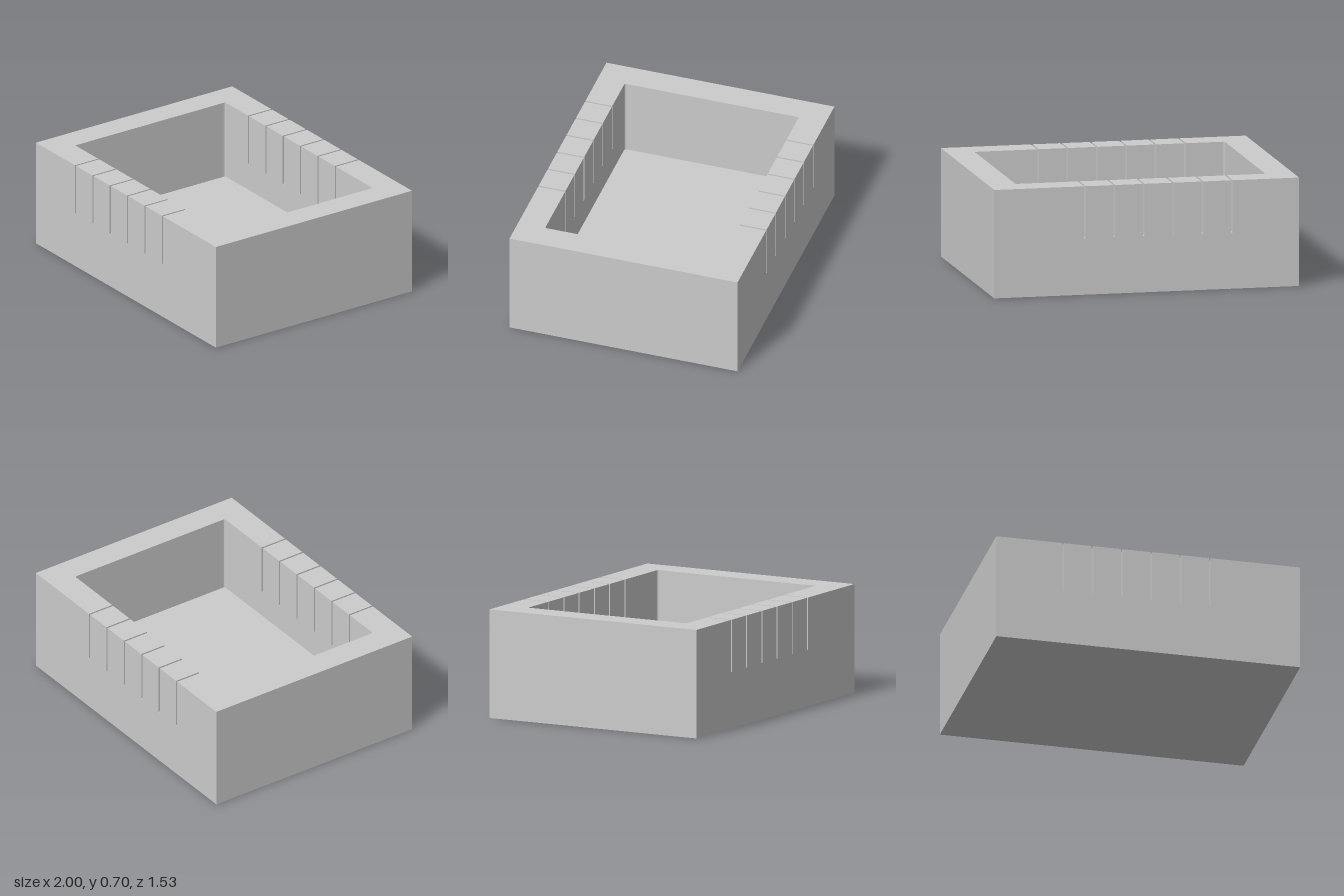
import * as THREE from 'three';
import { mergeGeometries } from 'three/addons/utils/BufferGeometryUtils.js';

// Outer half sizes, cavity half sizes and heights
const X = 1, Z = 0.767, CX = 0.82, CZ = 0.586, R = 0.012;
const TOP = 0.705, FLOOR = 0.187, SLOT_Y = 0.367;
const SLOT = 0.012, FIRST = -0.56, STEP = 0.193, COUNT = 6;

// Plan points are [x, -z], anticlockwise seen from above
const rect = (x0, x1, y0, y1) => [[x0, y0], [x1, y0], [x1, y1], [x0, y1]];

// One rounded cavity corner, k counting quarter turns
function corner(k) {
  const sx = [1, -1, -1, 1][k], sy = [1, 1, -1, -1][k];
  return [0, 1, 2, 3, 4].map((i) => {
    const a = (k + i / 4) * Math.PI / 2;
    return [sx * (CX - R) + R * Math.cos(a), sy * (CZ - R) + R * Math.sin(a)];
  });
}

// Upright walls around a plan outline, flat shaded
function walls(points, y0, y1) {
  const pos = [];
  points.forEach((a, i) => {
    const b = points[(i + 1) % points.length];
    for (const [p, y] of [[a, y0], [b, y0], [b, y1], [a, y0], [b, y1], [a, y1]]) pos.push(p[0], y, -p[1]);
  });
  const g = new THREE.BufferGeometry();
  g.setAttribute('position', new THREE.Float32BufferAttribute(pos, 3));
  g.computeVertexNormals();
  return g;
}

// Level face filling a plan outline
function cap(points, y, up = true) {
  const shape = new THREE.Shape(points.map((p) => new THREE.Vector2(p[0], p[1])));
  const g = new THREE.ShapeGeometry(shape).toNonIndexed();
  g.deleteAttribute('uv');
  return g.rotateX(up ? -Math.PI / 2 : Math.PI / 2).translate(0, y, 0);
}

export function createModel() {
  const group = new THREE.Group();
  const material = new THREE.MeshStandardMaterial({ color: 0xcccccc });
  const add = (name, ...parts) => {
    const mesh = new THREE.Mesh(mergeGeometries(parts), material);
    mesh.name = name;
    group.add(mesh);
  };
  const block = (points) => [walls(points, SLOT_Y, TOP), cap(points, TOP)];

  // Lower body: outside walls and underside
  const outer = rect(-X, X, -Z, Z);
  add('lowerBody', walls(outer, 0, SLOT_Y), cap(outer, 0, false));

  // Cavity: inward-facing walls and floor
  const cavity = [0, 1, 2, 3].flatMap(corner);
  add('cavity', walls([...cavity].reverse(), FLOOR, SLOT_Y), cap(cavity, FLOOR));

  // End blocks: C-shaped rim ends reaching to the outermost slots
  const endBlock = (dir, x) => block([
    [x, -Z], [X, -Z], [X, Z], [x, Z], [x, CZ],
    ...corner(0).reverse(), ...corner(3).reverse(), [x, -CZ],
  ].map(([px, py]) => [dir * px, dir * py]));
  const slots = Array.from({ length: COUNT }, (_, i) => FIRST + i * STEP);
  add('rightEnd', ...endBlock(-1, -FIRST + SLOT / 2));
  add('leftEnd', ...endBlock(1, slots[COUNT - 1] + SLOT / 2));

  // Front and back rims: wall sections parted by narrow slots
  for (const [name, y0, y1] of [['front', -Z, -CZ], ['back', CZ, Z]]) {
    slots.forEach((x, i) => {
      add(name + 'SlotBottom', cap(rect(x - SLOT / 2, x + SLOT / 2, y0, y1), SLOT_Y));
      if (i < COUNT - 1) {
        add(name + 'WallSection', ...block(rect(x + SLOT / 2, slots[i + 1] - SLOT / 2, y0, y1)));
      }
    });
  }
  return group;
}
